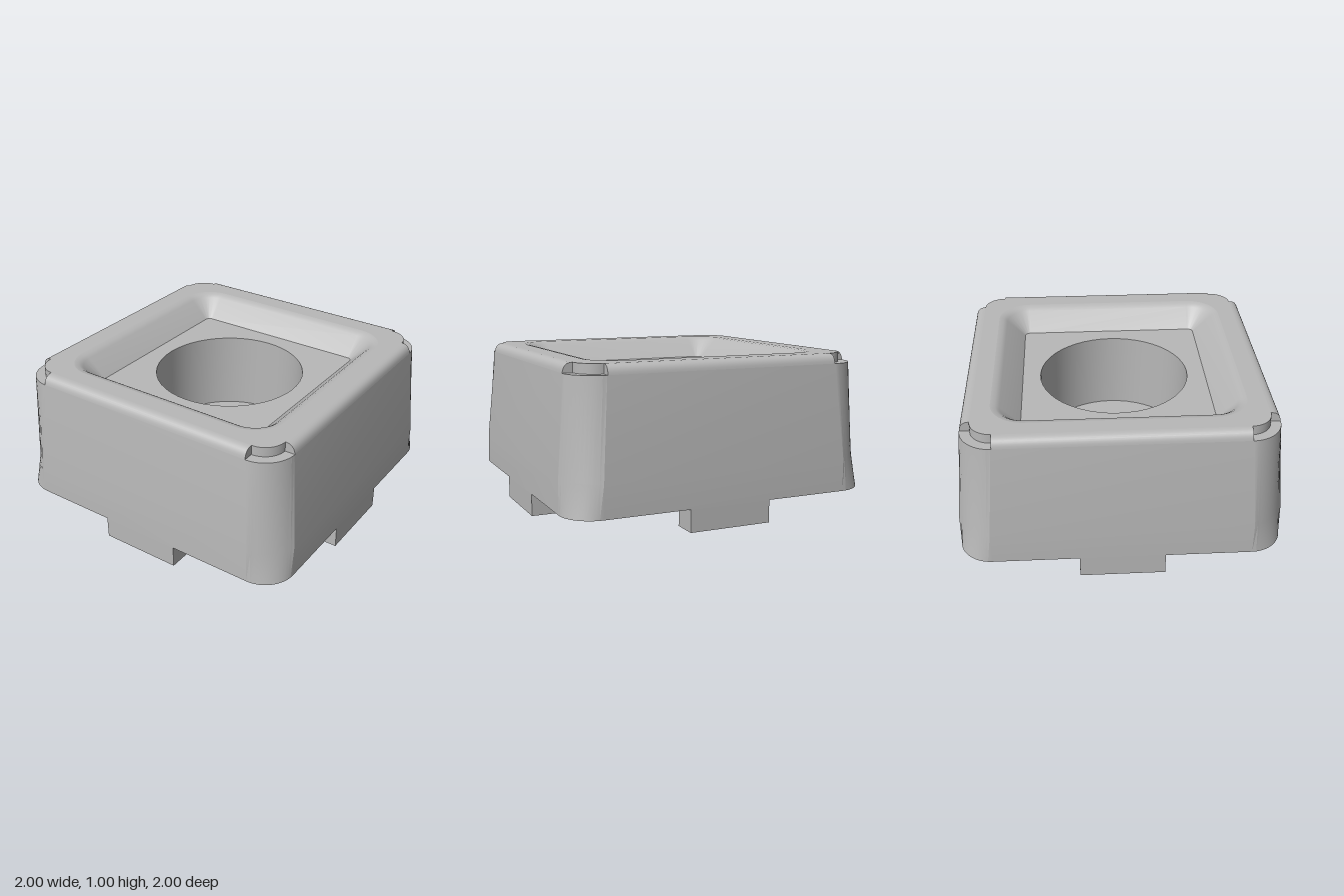
import * as THREE from 'three';
import { toCreasedNormals } from 'three/addons/utils/BufferGeometryUtils.js';

const CORNER_STEPS = 12;

// Square ring at height y: half width h, straight sides up to c, corners
// running from a straight chamfer (f = 0) to a full arc (f = 1).
// c = 0 gives a circle of radius h.
function ring(y, h, c, f = 1) {
  const points = [];
  const r = h - c;
  for (let q = 0; q < 4; q++) {
    const turn = q * Math.PI / 2, cos = Math.cos(turn), sin = Math.sin(turn);
    for (let i = 0; i <= CORNER_STEPS; i++) {
      const t = i / CORNER_STEPS, a = t * Math.PI / 2;
      const x = c + r * THREE.MathUtils.lerp(1 - t, Math.cos(a), f);
      const z = c + r * THREE.MathUtils.lerp(t, Math.sin(a), f);
      points.push([x * cos - z * sin, y, x * sin + z * cos]);
    }
  }
  return points;
}

// Skin joining consecutive rings
function loft(rings) {
  const n = rings[0].length, index = [];
  for (let i = 0; i < rings.length - 1; i++) {
    for (let j = 0; j < n; j++) {
      const k = (j + 1) % n;
      const a = i * n + j, b = i * n + k, c = a + n, d = b + n;
      index.push(a, c, b, b, c, d);
    }
  }
  const geometry = new THREE.BufferGeometry();
  geometry.setAttribute('position', new THREE.Float32BufferAttribute(rings.flat(2), 3));
  geometry.setIndex(index);
  return toCreasedNormals(geometry, 0.45);
}

export function createModel() {
  const model = new THREE.Group();
  const grey = new THREE.MeshStandardMaterial({ color: 0xb8b8b8 });
  grey.name = 'grey';

  const add = (name, geometry, parent = model) => {
    const mesh = new THREE.Mesh(geometry, grey);
    mesh.name = name;
    parent.add(mesh);
    return mesh;
  };

  // Key sections shared by neighbouring parts
  const base = ring(0.14, 1, 0.8);
  const shoulder = ring(0.94, 0.948, 0.755, 0.95);
  const rimOuter = ring(1, 0.885, 0.75);
  const rimInner = ring(1, 0.775, 0.565);
  const floorEdge = ring(0.86, 0.6, 0.565);
  const boreTop = ring(0.86, 0.485, 0);
  const boreBottom = ring(0.14, 0.29, 0);

  // Upright band at the bottom, then tapered flanks
  add('outerWall', loft([base, ring(0.34, 1, 0.8, 0.35), shoulder]));

  // Corner ledges, their upright step and the flat rim
  add('rim', loft([shoulder, ring(0.94, 0.885, 0.75), rimOuter, rimInner]));

  // Sloped recess with a softened lip and conical corners
  add('recess', loft([rimInner, ring(0.995, 0.745, 0.565), ring(0.978, 0.72, 0.565), floorEdge, boreTop]));

  // Stepped through hole
  add('bore', loft([boreTop, ring(0.34, 0.485, 0), ring(0.34, 0.29, 0), boreBottom]));
  add('underside', loft([boreBottom, base]));

  // Rounded edge strip profile, drawn in outward distance and height
  const profile = new THREE.Shape();
  profile.moveTo(0.885, 0.94);
  profile.lineTo(0.948, 0.94);
  profile.quadraticCurveTo(0.942, 1, 0.885, 1);
  profile.closePath();
  const strip = new THREE.ExtrudeGeometry(profile, { depth: 1.5, bevelEnabled: false, curveSegments: 8 });
  strip.translate(0, 0, -0.75);
  const stripGeometry = toCreasedNormals(strip, 0.5);

  // One foot and one edge strip on each side
  const footGeometry = new THREE.BoxGeometry(0.16, 0.14, 0.53);
  footGeometry.translate(0.92, 0.07, 0);
  ['left', 'back', 'right', 'front'].forEach((side, i) => {
    const group = new THREE.Group();
    group.name = side + 'Side';
    group.rotation.y = i * Math.PI / 2;
    add(side + 'EdgeStrip', stripGeometry, group);
    add(side + 'Foot', footGeometry, group);
    model.add(group);
  });

  return model;
}
